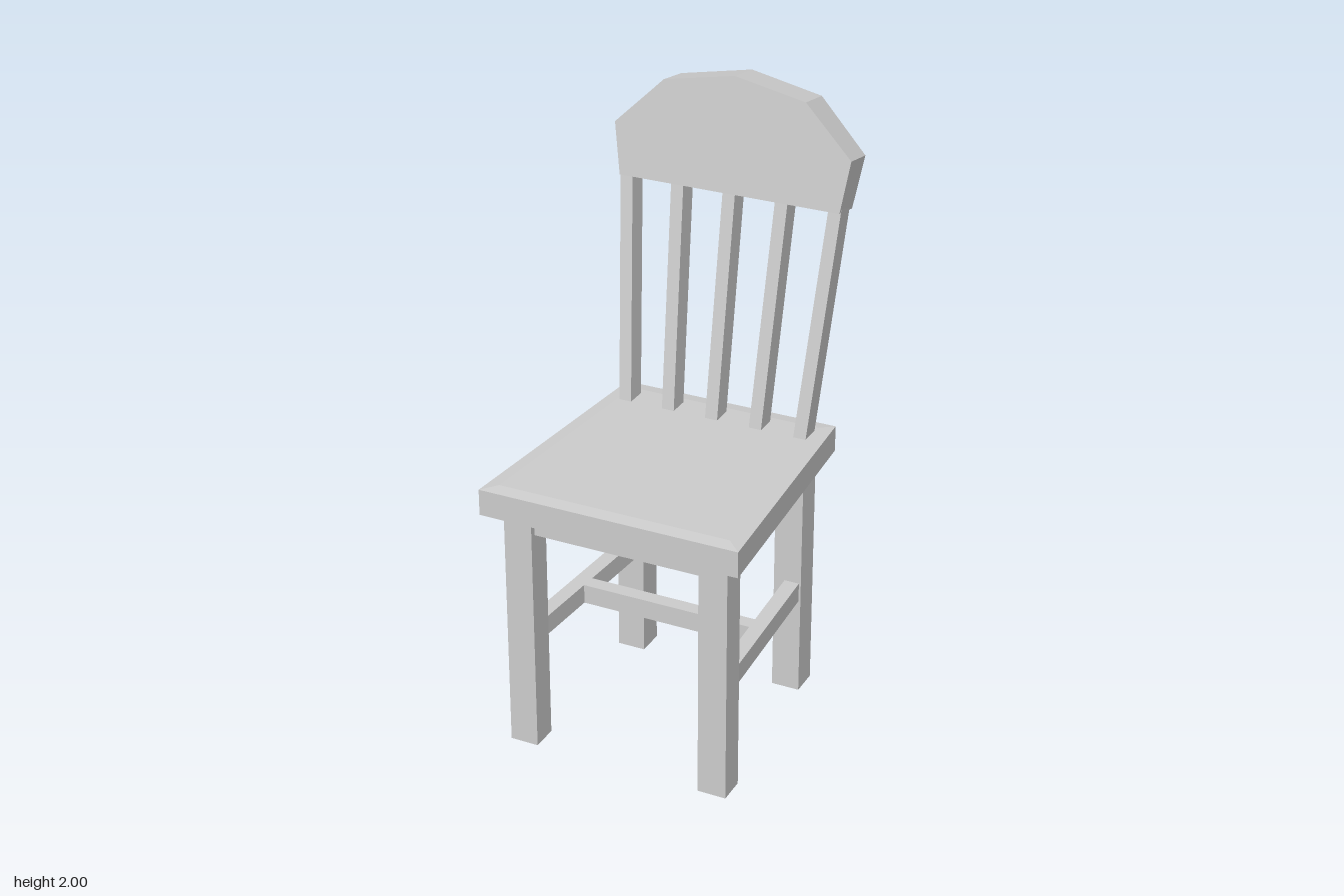
import * as THREE from 'three';

const material = new THREE.MeshStandardMaterial({ color: 0xcccccc, flatShading: true });

function add(parent, name, geometry) {
  const mesh = new THREE.Mesh(geometry, material);
  mesh.name = name;
  parent.add(mesh);
  return mesh;
}

// Moves every vertex of a geometry by a rule
function reshape(geometry, rule) {
  const p = geometry.attributes.position;
  const v = new THREE.Vector3();
  for (let i = 0; i < p.count; i++) {
    rule(v.fromBufferAttribute(p, i));
    p.setXYZ(i, v.x, v.y, v.z);
  }
  geometry.computeVertexNormals();
  return geometry;
}

// Box given by its limits
function block(x0, x1, y0, y1, z0, z1) {
  return new THREE.BoxGeometry(x1 - x0, y1 - y0, z1 - z0)
    .translate((x0 + x1) / 2, (y0 + y1) / 2, (z0 + z1) / 2);
}

// Level rail running from back to front, with its ends at different x
function sideRail(xBack, xFront, width, y0, y1, zBack, zFront) {
  return reshape(block(-width / 2, width / 2, y0, y1, zBack, zFront), v => {
    v.x += THREE.MathUtils.mapLinear(v.z, zBack, zFront, xBack, xFront);
  });
}

function polygon(points) {
  return new THREE.Shape(points.map(([x, y]) => new THREE.Vector2(x, y)));
}

export function createModel() {
  const chair = new THREE.Group();
  chair.name = 'chair';

  // Tapered seat with shallow chamfers above and below
  const seat = new THREE.ExtrudeGeometry(
    polygon([[-0.383, 0.455], [-0.327, -0.315], [0.327, -0.315], [0.383, 0.455]]),
    { depth: 0.086, bevelEnabled: true, bevelSize: 0.045, bevelThickness: 0.006, bevelSegments: 1 }
  );
  seat.rotateX(Math.PI / 2).translate(0, 0.904, 0);
  add(chair, 'seat', seat);

  // Legs, side aprons and side stretchers
  for (const [side, s] of [['left', 1], ['right', -1]]) {
    const leg = (x, z0, z1) => block(s * x - 0.047, s * x + 0.047, 0, 0.816, z0, z1);
    add(chair, side + 'FrontLeg', leg(0.327, 0.36, 0.45));
    add(chair, side + 'BackLeg', leg(0.282, -0.3, -0.205));
    add(chair, side + 'Apron', sideRail(s * 0.295, s * 0.33, 0.05, 0.75, 0.816, -0.21, 0.365));
    add(chair, side + 'Stretcher', sideRail(s * 0.297, s * 0.33, 0.05, 0.335, 0.4, -0.21, 0.365));
  }

  // Front and back aprons, and the bar joining the stretchers
  add(chair, 'frontApron', block(-0.285, 0.285, 0.75, 0.816, 0.38, 0.43));
  add(chair, 'backApron', block(-0.24, 0.24, 0.75, 0.816, -0.275, -0.225));
  add(chair, 'crossStretcher', block(-0.295, 0.295, 0.335, 0.4, 0.055, 0.105));

  // Five back spindles, leaning back and fanning outward
  for (let i = -2; i <= 2; i++) {
    const spindle = reshape(block(-0.021, 0.021, 0.9, 1.65, -0.035, 0.035), v => {
      const t = (v.y - 0.9) / 0.73;
      v.x += i * THREE.MathUtils.lerp(0.152, 0.176, t);
      v.z -= THREE.MathUtils.lerp(0.255, 0.373, t);
    });
    add(chair, 'spindle' + (i + 3), spindle);
  }

  // Arched top rail, thicker toward its top and leaning back
  const rail = new THREE.ExtrudeGeometry(
    polygon([[-0.372, 1.635], [0.372, 1.635], [0.397, 1.8], [0.237, 1.955],
      [0, 2], [-0.237, 1.955], [-0.397, 1.8]]),
    { depth: 1, bevelEnabled: false }
  );
  reshape(rail, v => {
    const rise = v.y - 1.635;
    const front = v.z > 0.5;
    v.z = front ? -0.33 - 0.124 * rise : -0.43 - 0.192 * rise;
    if (!front) v.y -= 0.018;
  });
  add(chair, 'topRail', rail);

  return chair;
}
